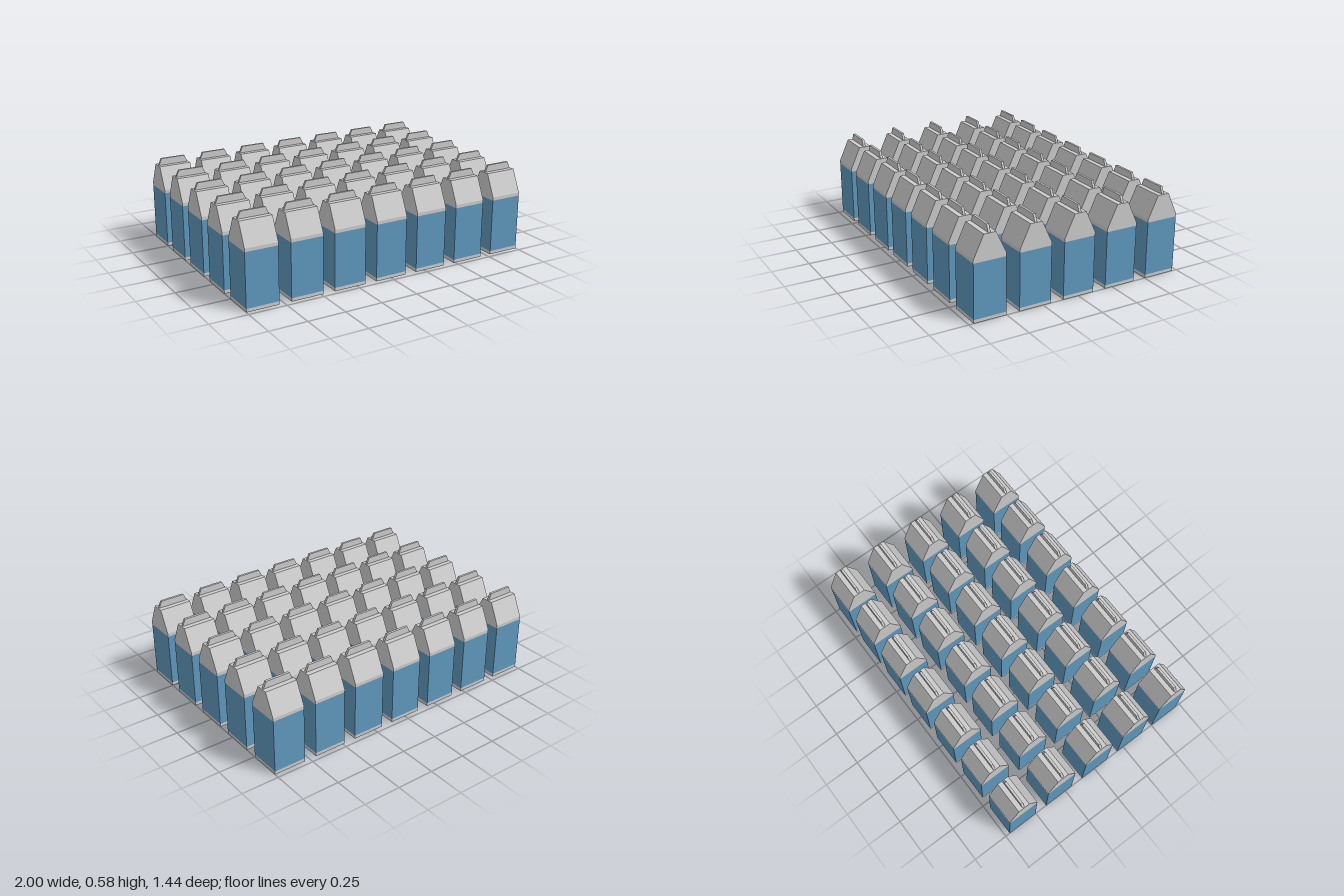
import * as THREE from 'three';

const HALF = 0.108;      // half width of a carton
const BAND = 0.022;      // top of the base band
const LABEL = 0.374;     // top of the coloured body
const SHOULDER = 0.395;  // where the roof starts to slope
const RIDGE = 0.54;      // flat top of the roof
const TOP = 0.585;       // top of the sealed fin

const COLUMNS = 7, ROWS = 5;
const STEP_X = (2 - 2 * HALF) / (COLUMNS - 1);
const STEP_Z = 0.305;

// Extrude a closed outline, centred on its depth
function prism(points, depth) {
  const shape = new THREE.Shape(points.map(([x, y]) => new THREE.Vector2(x, y)));
  const geometry = new THREE.ExtrudeGeometry(shape, { depth, bevelEnabled: false });
  return geometry.translate(0, 0, -depth / 2);
}

// Square block between two heights
function block(y0, y1) {
  return new THREE.BoxGeometry(2 * HALF, y1 - y0, 2 * HALF).translate(0, (y0 + y1) / 2, 0);
}

export function createModel() {
  const grey = new THREE.MeshStandardMaterial({ color: 0xcccccc });
  const blue = new THREE.MeshStandardMaterial({ color: 0x5f98bd });

  // Gabled roof: side profile extruded along x
  const roof = prism([
    [-HALF, LABEL], [HALF, LABEL], [HALF, SHOULDER],
    [0.04, RIDGE], [-0.04, RIDGE], [-HALF, SHOULDER],
  ], 2 * HALF).rotateY(Math.PI / 2);

  // Sealed fin: thin trapezoid standing on the ridge
  const fin = prism([[-0.101, RIDGE], [0.101, RIDGE], [0.081, TOP], [-0.081, TOP]], 0.016);

  const parts = [
    ['baseBand', block(0, BAND), grey],
    ['body', block(BAND, LABEL), blue],
    ['gableRoof', roof, grey],
    ['topFin', fin, grey],
  ];

  // Grid of identical cartons
  const model = new THREE.Group();
  model.name = 'cartons';
  for (let row = 0; row < ROWS; row++) {
    for (let column = 0; column < COLUMNS; column++) {
      const carton = new THREE.Group();
      carton.name = 'carton';
      for (const [name, geometry, material] of parts) {
        const mesh = new THREE.Mesh(geometry, material);
        mesh.name = name;
        carton.add(mesh);
      }
      carton.position.set(
        (column - (COLUMNS - 1) / 2) * STEP_X, 0, (row - (ROWS - 1) / 2) * STEP_Z);
      model.add(carton);
    }
  }
  return model;
}
